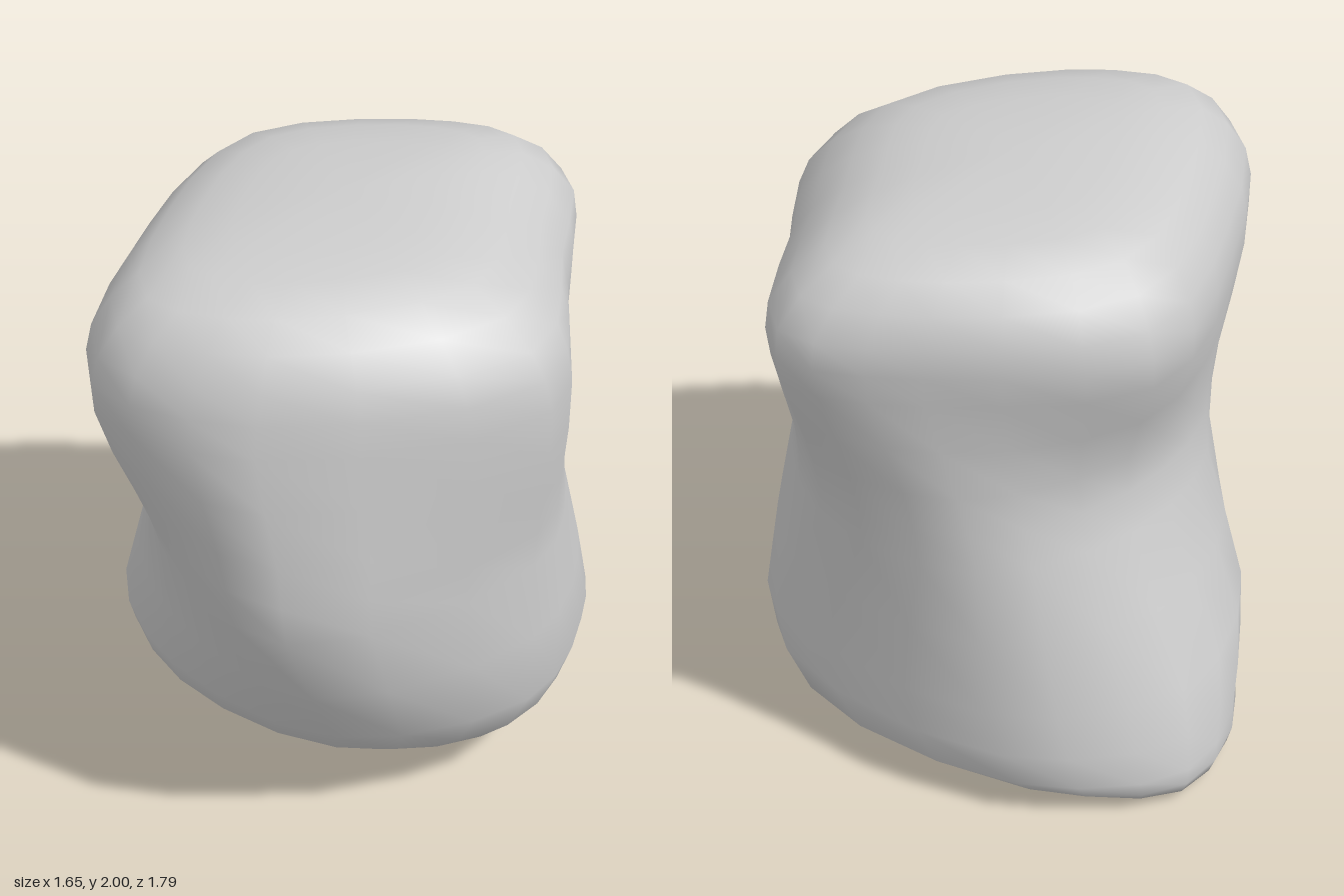
import * as THREE from 'three';
import { mergeVertices } from 'three/addons/utils/BufferGeometryUtils.js';

// Horizontal sections, bottom to top: height, then eight x,z pairs running
// back-left corner, left, front-left corner, front, front-right corner, right, back-right corner, back
const SECTIONS = [
  [0.04, 0.3, -0.5, 0.42, -0.15, 0.32, 0.1, 0, 0.2, -0.4, 0.12, -0.8, -0.28, -0.71, -0.7, -0.25, -0.78],
  [0.14, 0.58, -0.6, 0.71, -0.15, 0.57, 0.25, 0.1, 0.43, -0.45, 0.27, -0.8, -0.2, -0.73, -0.7, -0.2, -0.89],
  [0.4, 0.72, -0.5, 0.82, -0.15, 0.74, 0.32, 0.18, 0.68, -0.45, 0.46, -0.77, 0.02, -0.69, -0.62, -0.1, -0.87],
  [0.93, 0.5, -0.64, 0.74, -0.15, 0.73, 0.3, 0.09, 0.9, -0.44, 0.53, -0.64, -0.02, -0.49, -0.5, -0.06, -0.82],
  [1.2, 0.5, -0.69, 0.71, -0.18, 0.75, 0.31, 0.06, 0.88, -0.49, 0.61, -0.63, 0, -0.46, -0.48, 0, -0.81],
  [1.55, 0.54, -0.81, 0.69, -0.25, 0.77, 0.33, -0.02, 0.83, -0.57, 0.71, -0.68, 0.03, -0.55, -0.58, 0.09, -0.83],
  [1.75, 0.54, -0.82, 0.66, -0.28, 0.7, 0.33, -0.02, 0.77, -0.55, 0.71, -0.66, 0.06, -0.53, -0.58, 0.09, -0.83],
  [1.92, 0.4, -0.69, 0.49, -0.26, 0.5, 0.26, -0.02, 0.62, -0.42, 0.61, -0.53, 0.06, -0.43, -0.47, 0.06, -0.71],
];
const BOTTOM = new THREE.Vector3(0, 0, -0.18);
const TOP = new THREE.Vector3(0, 2, -0.05);
const AROUND = 24, UP = 22;

// Smooth closed loop through one section
function loop([y, ...xz]) {
  const pts = [];
  for (let i = 0; i < xz.length; i += 2) pts.push(new THREE.Vector3(xz[i], y, xz[i + 1]));
  return new THREE.CatmullRomCurve3(pts, true);
}

// Point halfway in from an end section to its pole, set to the height of the gentle dome
function capPoint(edge, pole, y) {
  return edge.clone().lerp(pole, 0.45).setY(y);
}

export function createModel() {
  const loops = SECTIONS.map(loop);
  const positions = [], index = [];

  // Ribs from the bottom pole to the top pole, joined into a skin
  for (let i = 0; i < AROUND; i++) {
    const side = loops.map(l => l.getPoint(i / AROUND));
    const rib = new THREE.CatmullRomCurve3([
      BOTTOM, capPoint(side[0], BOTTOM, 0.015), ...side, capPoint(side.at(-1), TOP, 1.985), TOP,
    ]);
    for (let j = 0; j <= UP; j++) {
      const p = rib.getPoint(j / UP);
      positions.push(p.x, p.y, p.z);
      if (j === UP) continue;
      const a = i * (UP + 1) + j;
      const b = ((i + 1) % AROUND) * (UP + 1) + j;
      if (j < UP - 1) index.push(a, a + 1, b + 1);
      else index.push(a, a + 1, b);
      if (j > 0 && j < UP - 1) index.push(a, b + 1, b);
    }
  }

  let geometry = new THREE.BufferGeometry();
  geometry.setAttribute('position', new THREE.Float32BufferAttribute(positions, 3));
  geometry.setIndex(index);
  geometry = mergeVertices(geometry);
  geometry.computeVertexNormals();

  const boulder = new THREE.Mesh(geometry, new THREE.MeshStandardMaterial({ color: 0xcccccc }));
  boulder.name = 'boulder';
  const group = new THREE.Group();
  group.name = 'rock';
  group.add(boulder);
  return group;
}
